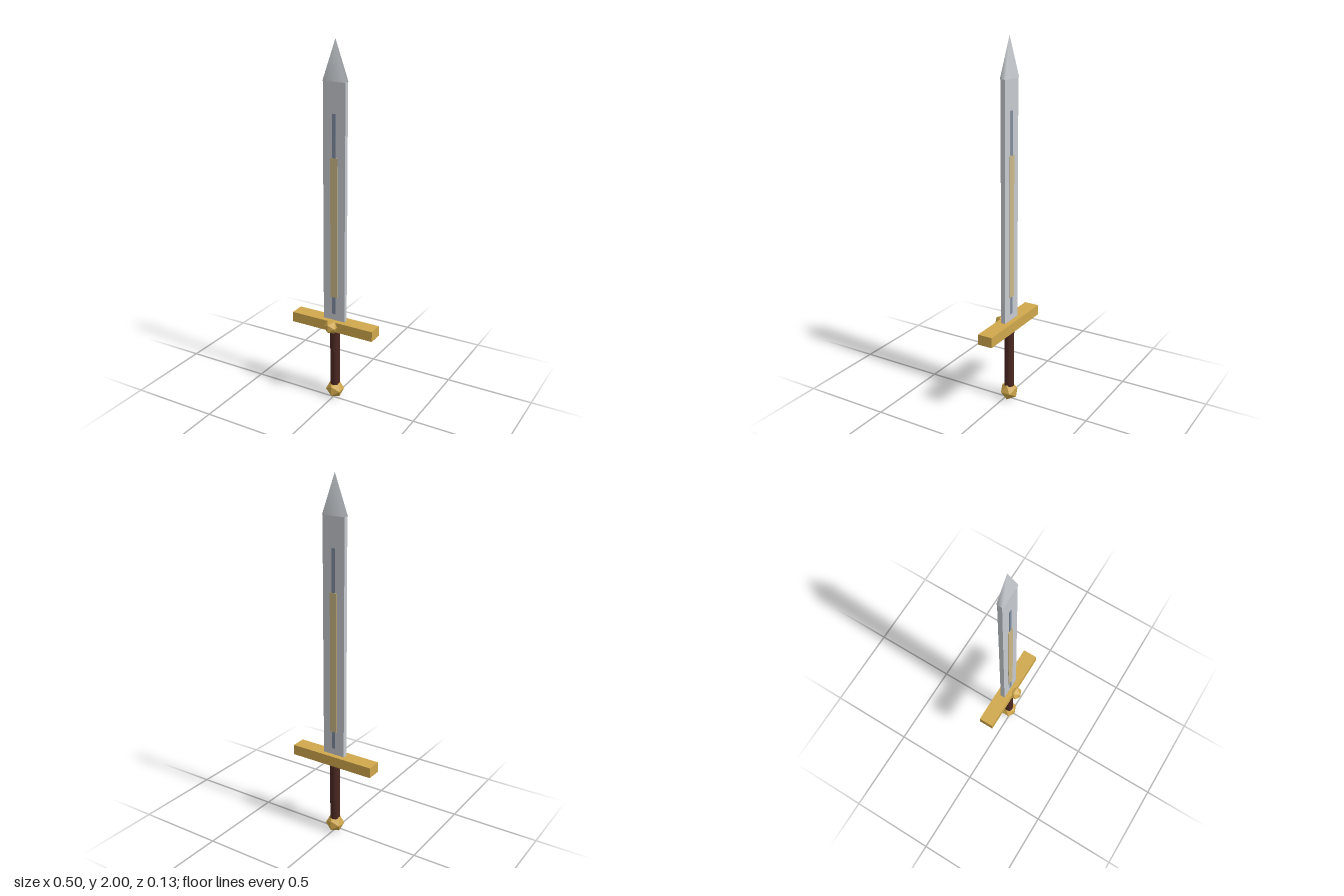
import * as THREE from 'three';

const material = (name, color, flatShading = false) => {
  const m = new THREE.MeshStandardMaterial({ color });
  m.name = name;
  m.flatShading = flatShading;
  return m;
};

export function createModel() {
  const gold = material('gold', 0xd0a84c, true);
  const steel = material('steel', 0xc6cacf);
  const blueSteel = material('blue steel', 0x7f8c9f);
  const paleGold = material('pale gold', 0xcbb888);
  const leather = material('leather', 0x4c2822);

  const sword = new THREE.Group();
  sword.name = 'sword';
  const Z = -0.02; // centre plane of blade, guard and grip

  const add = (name, geometry, mat, y, z = Z) => {
    const mesh = new THREE.Mesh(geometry, mat);
    mesh.name = name;
    mesh.position.set(0, y, z);
    sword.add(mesh);
    return mesh;
  };
  // box given by width, bottom, top and depth
  const slab = (name, w, y0, y1, d, mat, z = Z) =>
    add(name, new THREE.BoxGeometry(w, y1 - y0, d), mat, (y0 + y1) / 2, z);

  // Hilt
  add('pommel', new THREE.IcosahedronGeometry(0.0525), gold, 0.045);
  add('grip', new THREE.CylinderGeometry(0.0275, 0.0275, 0.375, 12), leather, 0.2425);
  slab('guard', 0.5, 0.425, 0.483, 0.084, gold);
  add('guardStud', new THREE.IcosahedronGeometry(0.041), gold, 0.455, 0.027);

  // Blade with a four-sided point slightly thicker than the blade
  slab('blade', 0.13, 0.483, 1.79, 0.026, steel);
  const tip = new THREE.ConeGeometry(Math.SQRT1_2, 0.21, 4);
  tip.rotateY(Math.PI / 4);
  tip.scale(0.13, 1, 0.035);
  add('bladeTip', tip, steel, 1.895);

  // Fuller strip and inlay on both faces
  for (const side of [1, -1]) {
    slab('fuller', 0.02, 0.52, 1.63, 0.004, blueSteel, Z + side * 0.0135);
    slab('inlay', 0.042, 0.62, 1.4, 0.004, paleGold, Z + side * 0.0145);
  }
  return sword;
}
